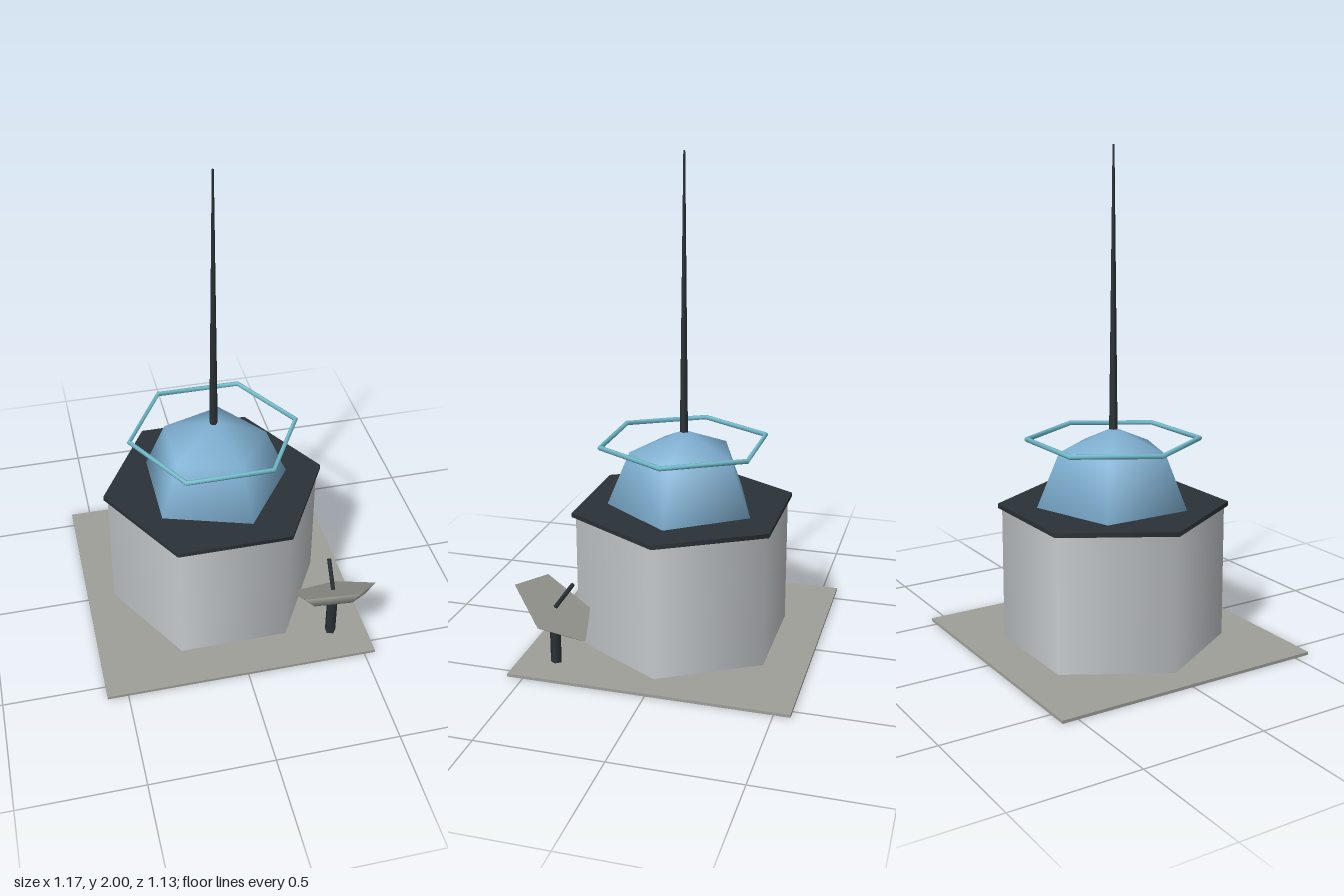
import * as THREE from 'three';

const mat = (name, color, side = THREE.FrontSide) => {
  const m = new THREE.MeshStandardMaterial({ color, side });
  m.name = name;
  return m;
};

export function createModel() {
  const concrete = mat('concrete grey', 0xa0a09a);
  const wall = mat('pale wall grey', 0xc6cacd);
  const dark = mat('dark slate', 0x2b3338);
  const glass = mat('dome blue', 0x7fb0d2);
  const cyan = mat('ring cyan', 0x72bccd);

  const group = new THREE.Group();
  group.name = 'station';
  const add = (parent, name, geo, material, x, y, z) => {
    const mesh = new THREE.Mesh(geo, material);
    mesh.name = name;
    mesh.position.set(x, y, z);
    parent.add(mesh);
    return mesh;
  };
  // upright prism standing on its origin, with one corner on +x
  const prism = (rTop, rBottom, h, sides) =>
    new THREE.CylinderGeometry(rTop, rBottom, h, sides).rotateY(Math.PI / 2).translate(0, h / 2, 0);

  const cx = -0.02;

  // Ground slab, hexagonal building and overhanging roof
  add(group, 'groundSlab', new THREE.BoxGeometry(1.13, 0.012, 1.13), concrete, cx, 0.006, 0);
  add(group, 'building', prism(0.45, 0.45, 0.565, 6), wall, cx, 0.005, 0);
  add(group, 'roof', prism(0.467, 0.467, 0.018, 6), dark, cx, 0.562, 0);

  // Five-sided dome, mast and floating ring
  const dome = new THREE.SphereGeometry(0.315, 5, 2, 0, Math.PI * 2, 0, Math.PI / 2).rotateY(Math.PI);
  add(group, 'dome', dome, glass, cx, 0.578, 0);
  add(group, 'mast', prism(0.004, 0.018, 1.13, 5), dark, cx, 0.87, 0);
  add(group, 'ring', new THREE.TorusGeometry(0.347, 0.01, 6, 6).rotateX(Math.PI / 2), cyan, cx, 0.845, 0);

  // Dish on a post: shallow bowl with flat face and feed rod
  add(group, 'dishPost', prism(0.023, 0.023, 0.19, 5), dark, 0.395, 0, 0.415);
  const dish = new THREE.Group();
  dish.name = 'dish';
  dish.position.set(0.395, 0.25, 0.4125);
  dish.rotation.x = -0.62;
  group.add(dish);
  const bowl = new THREE.SphereGeometry(0.187, 5, 2, 0, Math.PI * 2, Math.PI / 2, Math.PI / 2)
    .rotateY(Math.PI).scale(1, 0.3, 1);
  add(dish, 'dishBowl', bowl, concrete, 0, 0, 0);
  add(dish, 'dishFace', new THREE.CircleGeometry(0.187, 5).rotateX(-Math.PI / 2), concrete, 0, 0, 0);
  add(dish, 'feedRod', prism(0.009, 0.009, 0.13, 5), dark, 0, 0, 0);

  return group;
}
